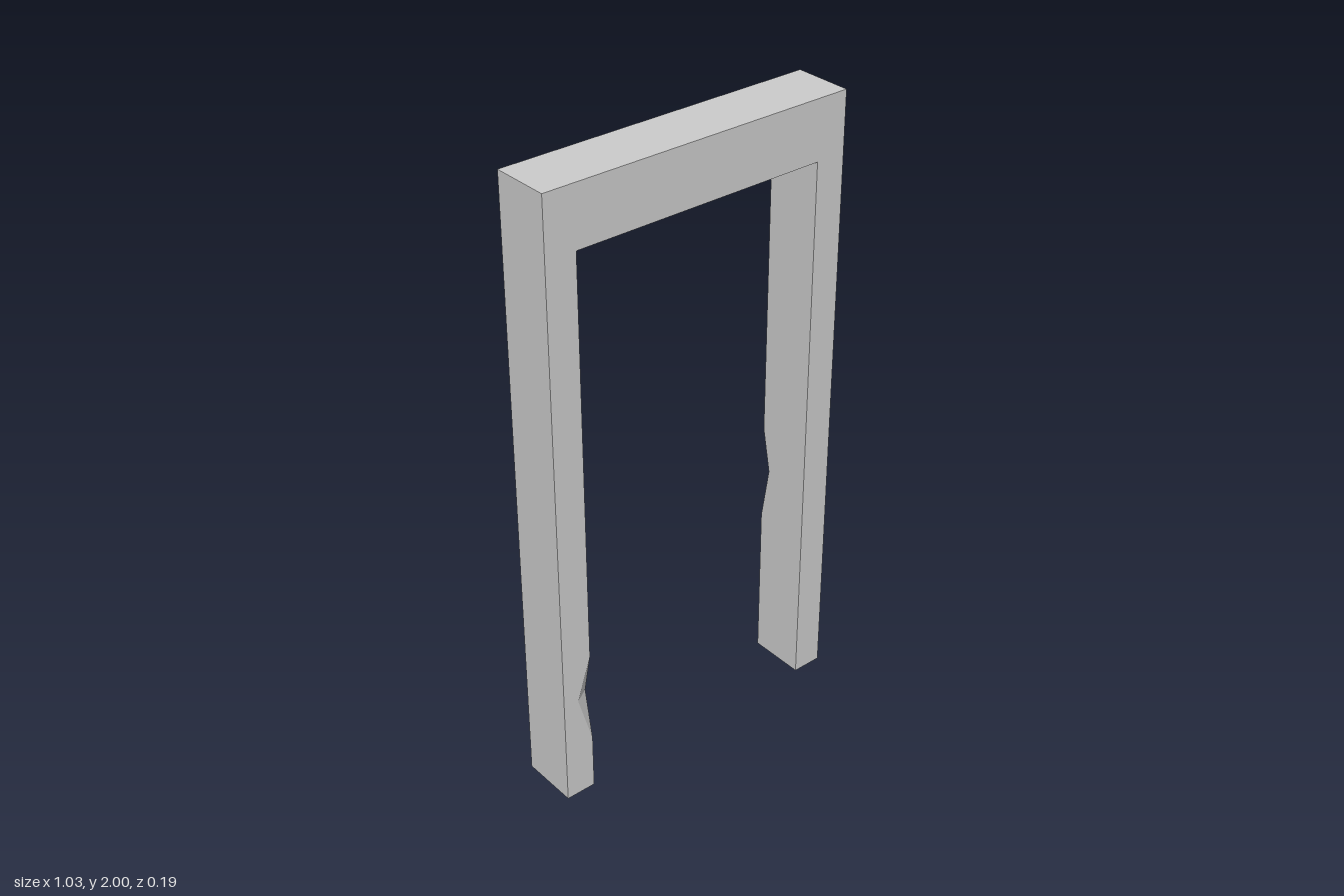
import * as THREE from 'three';

const OUTER = 0.517, INNER = 0.418, DEPTH = 0.093, LINTEL_Y = 1.812, TOP = 2;
const CHIP_X = 0.048, CHIP_Z = 0.029;

// Cross-section of the post at height y; cut = 1 bevels its inner front corner fully.
function section(y, cut) {
  return [
    [-OUTER, -DEPTH], [-OUTER, DEPTH],
    [-INNER - CHIP_X * cut, DEPTH], [-INNER, DEPTH - CHIP_Z * cut],
    [-INNER, -DEPTH],
  ].map(([x, z]) => new THREE.Vector3(x, y, z));
}

// Post with a chip in its inner front edge, from y0 to y1 and deepest at yMid.
function postGeometry(y0, yMid, y1) {
  const rings = [[0, 0], [y0, 0], [yMid, 1], [y1, 0], [LINTEL_Y, 0]].map(([y, c]) => section(y, c));
  const points = [];
  const tri = (...t) => {
    if (new THREE.Triangle(...t).getArea() > 1e-8) points.push(...t);
  };
  for (let r = 0; r < rings.length - 1; r++) {
    const low = rings[r], high = rings[r + 1];
    for (let i = 0; i < low.length; i++) {
      const j = (i + 1) % low.length;
      tri(low[i], low[j], high[j]);
      tri(low[i], high[j], high[i]);
    }
  }
  // foot
  const base = rings[0];
  for (let i = 1; i < base.length - 1; i++) tri(base[0], base[i + 1], base[i]);
  const geometry = new THREE.BufferGeometry().setFromPoints(points);
  geometry.computeVertexNormals();
  return geometry;
}

export function createModel() {
  const group = new THREE.Group();
  group.name = 'doorFrame';
  const material = new THREE.MeshStandardMaterial({ color: 0xcccccc, flatShading: true });
  const add = (name, geometry) => {
    const mesh = new THREE.Mesh(geometry, material);
    mesh.name = name;
    group.add(mesh);
    return mesh;
  };

  // posts: one chipped at the front, the other turned round and chipped at the back
  add('rightPost', postGeometry(0.185, 0.355, 0.5));
  add('leftPost', postGeometry(0.525, 0.705, 0.85)).rotation.y = Math.PI;

  // lintel across the top
  const height = TOP - LINTEL_Y;
  add('lintel', new THREE.BoxGeometry(2 * OUTER, height, 2 * DEPTH)).position.y = LINTEL_Y + height / 2;

  return group;
}
